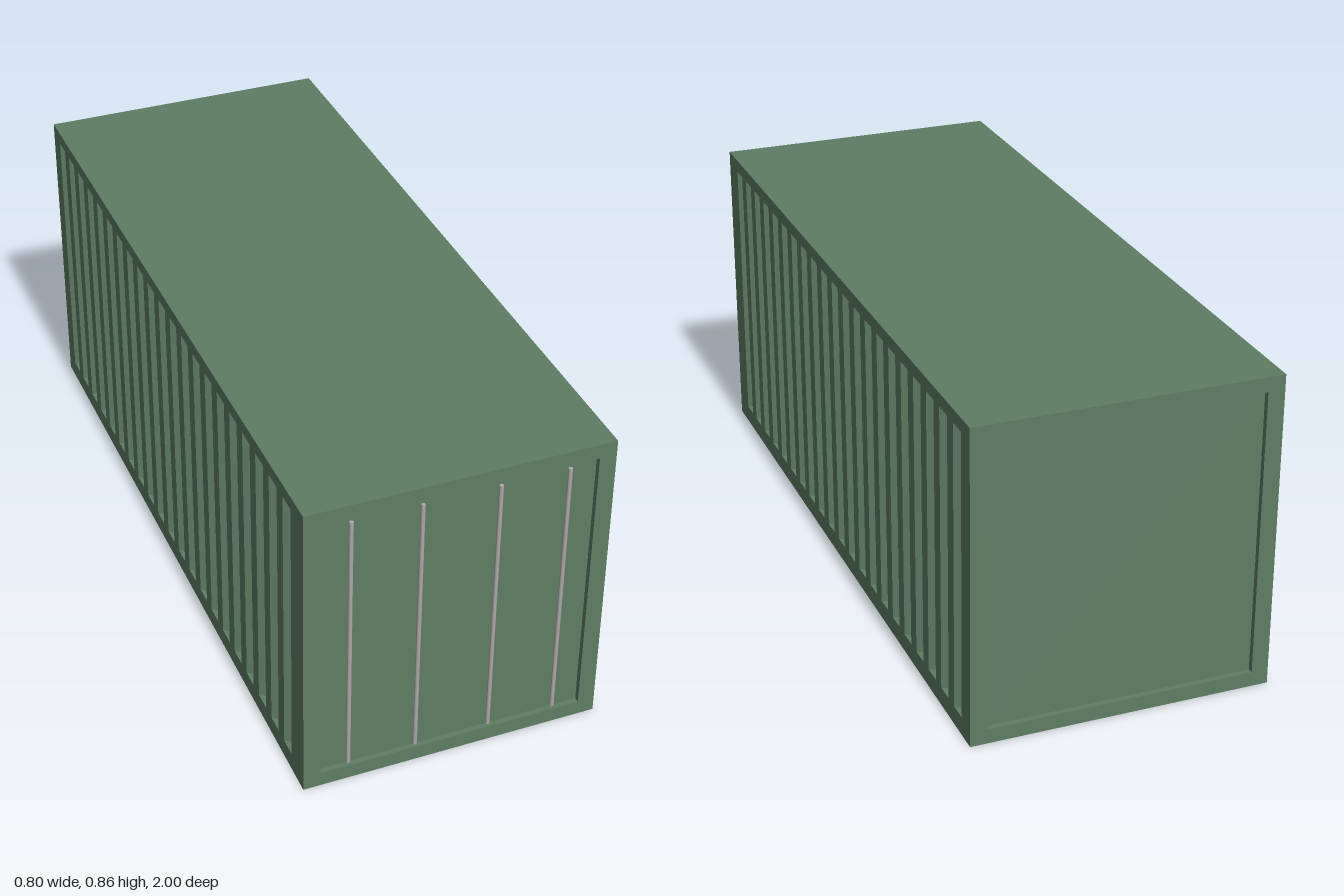
import * as THREE from 'three';

const W = 0.4, H = 0.855, L = 0.997;

// Flat-shaded sheet from a list of four-cornered faces
function sheet(name, quads, material) {
  const pos = [];
  for (const [a, b, c, d] of quads) pos.push(...a, ...b, ...c, ...a, ...c, ...d);
  const g = new THREE.BufferGeometry();
  g.setAttribute('position', new THREE.Float32BufferAttribute(pos, 3));
  g.computeVertexNormals();
  const mesh = new THREE.Mesh(g, material);
  mesh.name = name;
  return mesh;
}

// Wall in (u, v) with a border and a panel that follows a profile of [u, depth].
// place(u, v, depth) puts a point in space; u runs right as seen from outside.
function wallQuads(u0, u1, v0, v1, profile, place) {
  const quads = [];
  const p0 = profile[0][0], p1 = profile[profile.length - 1][0];
  const flat = (a, b, c, d) => quads.push([place(a, c, 0), place(b, c, 0), place(b, d, 0), place(a, d, 0)]);
  flat(u0, p0, 0, H);
  flat(p1, u1, 0, H);
  flat(p0, p1, 0, v0);
  flat(p0, p1, v1, H);
  for (let i = 0; i < profile.length - 1; i++) {
    const [a, da] = profile[i], [b, db] = profile[i + 1];
    quads.push([place(a, v0, da), place(b, v0, db), place(b, v1, db), place(a, v1, da)]);
    if (da || db) {
      // sill and lintel of the recess
      quads.push([place(a, v0, 0), place(b, v0, 0), place(b, v0, db), place(a, v0, da)]);
      quads.push([place(a, v1, da), place(b, v1, db), place(b, v1, 0), place(a, v1, 0)]);
    }
  }
  return quads;
}

export function createModel() {
  const green = new THREE.MeshStandardMaterial({ color: 0x5f7d64, side: THREE.DoubleSide });
  green.name = 'green paint';
  const grey = new THREE.MeshStandardMaterial({ color: 0xb0a8ac });
  grey.name = 'grey steel';
  const model = new THREE.Group();
  model.name = 'cargoContainer';

  // Roof; the underside of the shell is open
  model.add(sheet('roof', [[[-W, H, L], [W, H, L], [W, H, -1], [-W, H, -1]]], green));

  // Corrugated side walls: 21 trapezoid grooves between flush ribs
  const pitch = 0.0905, ramp = 0.016, groove = 0.052, depth = 0.025;
  const ribs = [];
  for (let i = 0; i < 21; i++) {
    const u = -0.918 + i * pitch;
    ribs.push([u, 0], [u + ramp, depth], [u + groove - ramp, depth], [u + groove, 0]);
  }
  for (const s of [1, -1]) {
    const quads = wallQuads(-L, 1, 0.05, 0.82, ribs, (u, v, d) => [s * (W - d), v, -u]);
    if (s < 0) quads.forEach(q => q.reverse());
    model.add(sheet(s > 0 ? 'leftWall' : 'rightWall', quads, green));
  }

  // Front doors and back wall, each with one recessed panel
  const recess = 0.015;
  const panel = [[-0.355, 0], [-0.355, recess], [0.355, recess], [0.355, 0]];
  model.add(sheet('frontDoors', wallQuads(-W, W, 0.04, 0.815, panel, (u, v, d) => [u, v, L - d]), green));
  model.add(sheet('backWall', wallQuads(-W, W, 0.04, 0.815, panel, (u, v, d) => [-u, v, d - 1]), green));

  // Door locking bars
  const barGeometry = new THREE.CylinderGeometry(0.0055, 0.0055, 0.753, 12);
  for (const x of [-0.28, -0.1, 0.1, 0.28]) {
    const bar = new THREE.Mesh(barGeometry, grey);
    bar.name = 'lockingBar';
    bar.position.set(x, 0.4285, 0.9945);
    model.add(bar);
  }
  return model;
}
